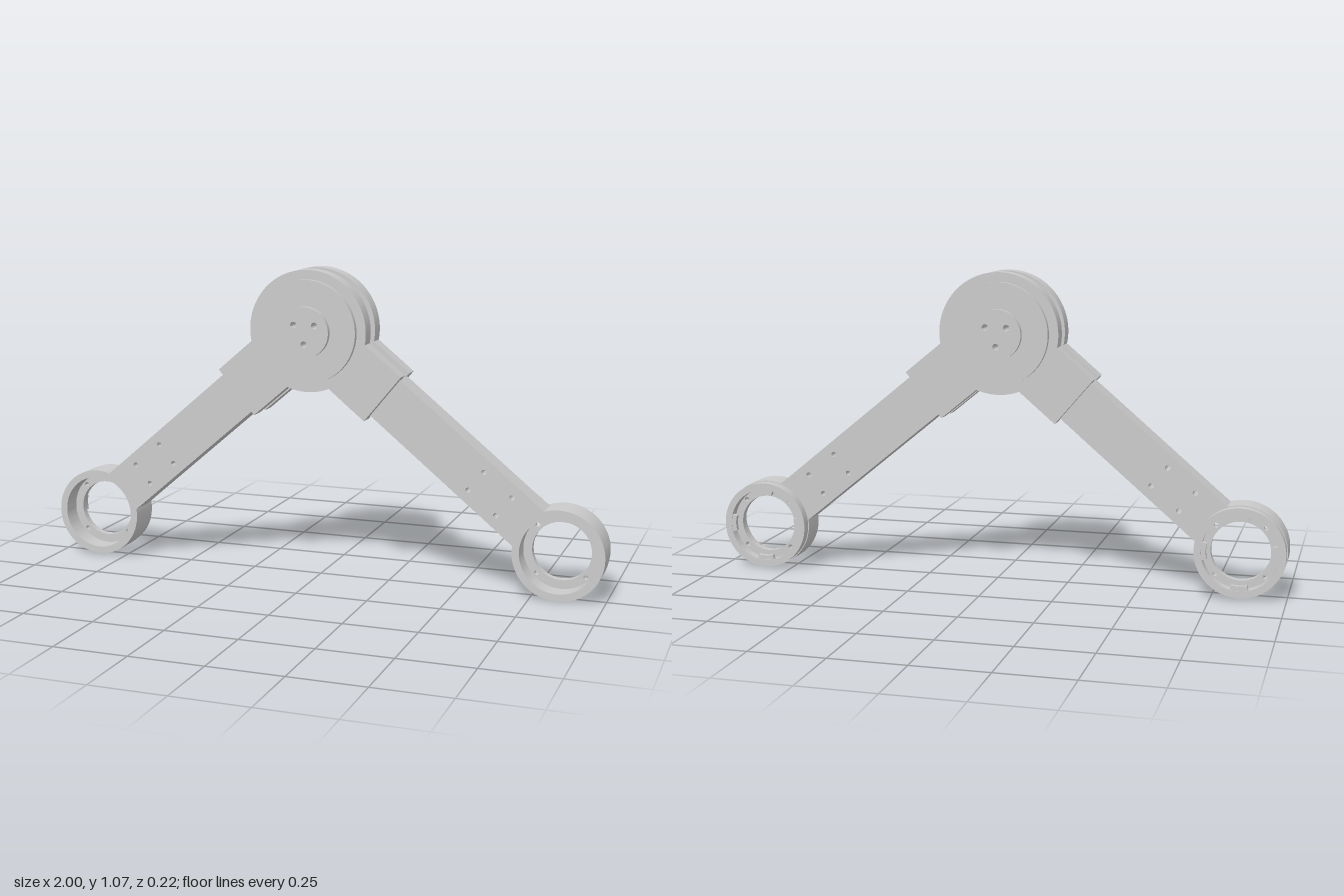
import * as THREE from 'three';
import { toCreasedNormals } from 'three/addons/utils/BufferGeometryUtils.js';

const material = new THREE.MeshStandardMaterial({ color: 0xcccccc });
const HUB = new THREE.Vector2(-0.021, 0.867);
const HUB_R = 0.207, BRACKET_HALF = 0.1, BRACKET_END = 0.343;
const ARM_HALF = 0.0815, RING_R = 0.155;

// Extrude a flat shape between two z levels
function slab(name, shape, z0, z1) {
  const geo = new THREE.ExtrudeGeometry(shape, { depth: z1 - z0, bevelEnabled: false, curveSegments: 48 });
  geo.translate(0, 0, z0);
  const mesh = new THREE.Mesh(toCreasedNormals(geo, 0.5), material);
  mesh.name = name;
  return mesh;
}

function drill(shape, points, r) {
  for (const [x, y] of points) shape.holes.push(new THREE.Path().absarc(x, y, r, 0, Math.PI * 2, true));
  return shape;
}

function disc(r, inner = 0) {
  const s = new THREE.Shape().absarc(0, 0, r, 0, Math.PI * 2);
  return inner ? drill(s, [[0, 0]], inner) : s;
}

function polygon(points) {
  return new THREE.Shape(points.map(([x, y]) => new THREE.Vector2(x, y)));
}

const bar = (x0, x1, h) => polygon([[x0, -h], [x1, -h], [x1, h], [x0, h]]);

// Hub disc outline with a square bracket reaching out along each arm
function hubPlateShape(angles) {
  const half = Math.asin(BRACKET_HALF / HUB_R);
  const points = [];
  angles.forEach((a, i) => {
    const c = Math.cos(a), s = Math.sin(a);
    for (const h of [-BRACKET_HALF, BRACKET_HALF]) {
      points.push([BRACKET_END * c - h * s, BRACKET_END * s + h * c]);
    }
    const next = i + 1 < angles.length ? angles[i + 1] : angles[0] + Math.PI * 2;
    const from = a + half, to = next - half;
    const n = Math.ceil((to - from) / 0.06);
    for (let k = 0; k <= n; k++) {
      const t = from + (to - from) * k / n;
      points.push([HUB_R * Math.cos(t), HUB_R * Math.sin(t)]);
    }
  });
  return drill(polygon(points), [[0, 0]], 0.08);
}

function createHub(angles) {
  const hub = new THREE.Group();
  hub.name = 'hub';
  hub.add(slab('frontHubPlate', hubPlateShape(angles), 0.025, 0.079));
  hub.add(slab('backHubPlate', hubPlateShape(angles), -0.076, -0.022));
  hub.add(slab('frontHubCap', disc(0.175, 0.08), 0.077, 0.097));
  hub.add(slab('backHubCap', disc(0.175, 0.08), -0.094, -0.074));
  // Pivot pin with three through holes
  const pin = drill(disc(0.086), [[-0.037, 0.024], [0.037, 0.024], [0, -0.041]], 0.011);
  hub.add(slab('pivotPin', pin, -0.111, 0.114));
  return hub;
}

// Socket at the end of an arm: cup open to the front, floor with screw holes, lugged back rim
function createSocket(rotation) {
  const socket = new THREE.Group();
  socket.name = 'socket';
  socket.add(slab('socketWall', disc(RING_R, 0.13), -0.045, 0.048));
  socket.add(slab('socketBackRim', disc(0.152, 0.128), -0.08, -0.044));
  const screws = [0, 1, 2, 3].map((i) => {
    const a = Math.PI / 4 + i * Math.PI / 2;
    return [0.117 * Math.cos(a), 0.117 * Math.sin(a)];
  });
  socket.add(slab('socketFloor', drill(disc(0.132, 0.1), screws, 0.008), -0.045, -0.02));
  for (let i = 0; i < 4; i++) {
    const a = i * Math.PI / 2, w = 0.24;
    const lug = new THREE.Shape().absarc(0, 0, 0.132, a - w, a + w);
    lug.absarc(0, 0, 0.112, a + w, a - w, true);
    socket.add(slab('socketLug', lug, -0.078, -0.062));
  }
  socket.rotation.z = rotation;
  return socket;
}

// One arm, built along local +x from the hub centre
function createArm(name, angle, length) {
  const arm = new THREE.Group();
  arm.name = name;
  const neckStart = length - 0.187;
  const holes = [];
  for (const d of [0.363, 0.239]) for (const h of [-0.042, 0.042]) holes.push([length - d, h]);
  arm.add(slab('armTongue', bar(0.243, 0.32, ARM_HALF), -0.022, 0.025));
  arm.add(slab('armBar', drill(bar(0.3, neckStart, ARM_HALF), holes, 0.009), -0.043, 0.046));

  // Neck ends in a concave curve that fits the socket wall
  const a = Math.asin(ARM_HALF / 0.15);
  const neck = new THREE.Shape();
  neck.moveTo(neckStart, ARM_HALF);
  neck.lineTo(neckStart, -ARM_HALF);
  neck.absarc(length, 0, 0.15, Math.PI + a, Math.PI - a, true);
  arm.add(slab('armNeck', neck, -0.045, 0.048));

  const socket = createSocket(-angle);
  socket.position.x = length;
  arm.add(socket);
  arm.rotation.z = angle;
  return arm;
}

export function createModel() {
  const model = new THREE.Group();
  model.name = 'hingedArms';
  const ends = [
    ['rightArm', new THREE.Vector2(-0.845, 0.163)],
    ['leftArm', new THREE.Vector2(0.843, 0.158)],
  ];
  const angles = [];
  for (const [name, end] of ends) {
    const d = end.clone().sub(HUB);
    const angle = Math.atan2(d.y, d.x);
    angles.push(angle);
    model.add(createArm(name, angle, d.length()));
  }
  model.add(createHub(angles));
  for (const part of model.children) part.position.set(HUB.x, HUB.y, 0);
  return model;
}
